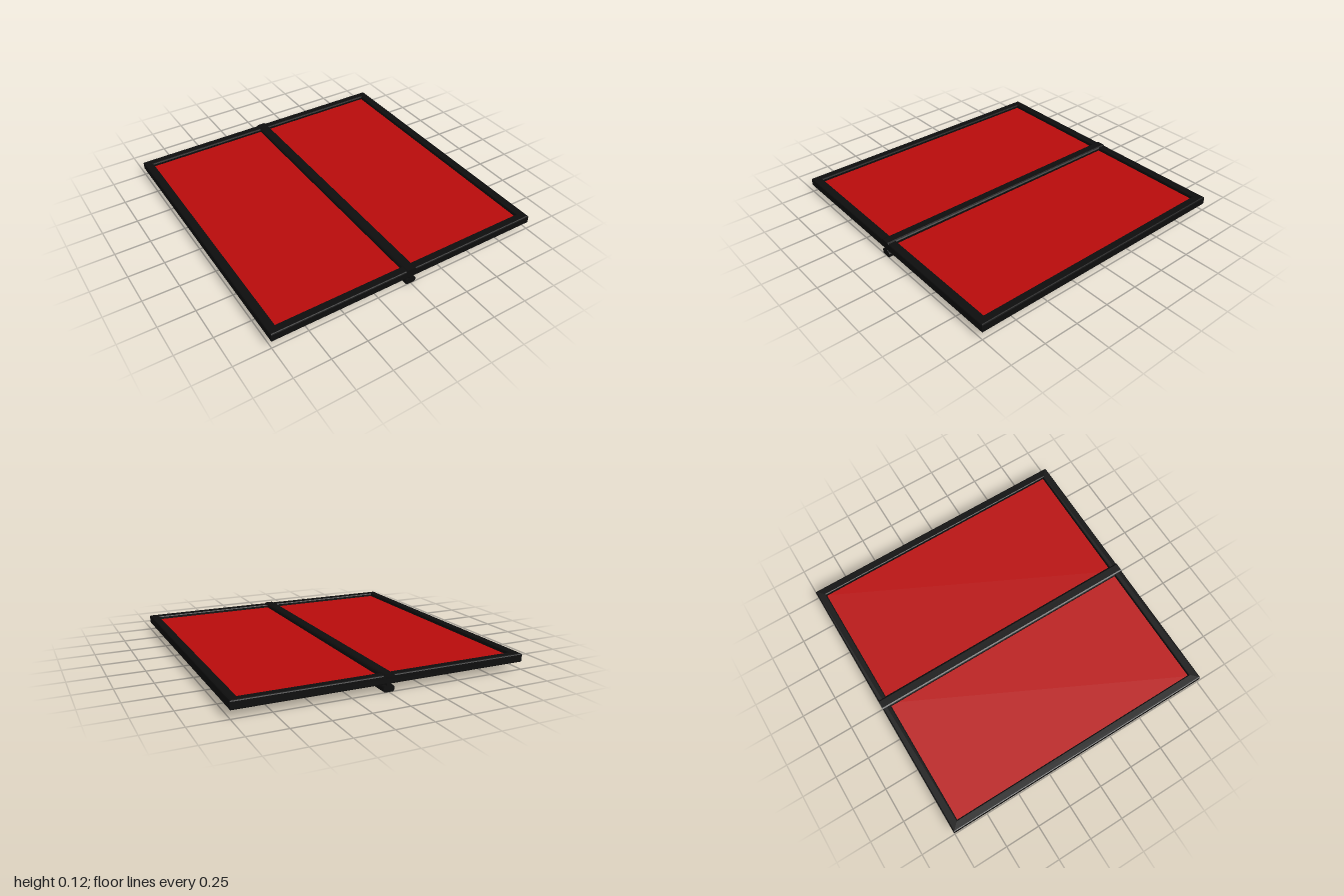
import * as THREE from 'three';

const black = new THREE.MeshStandardMaterial({ color: 0x0d0d0d });
const red = new THREE.MeshStandardMaterial({ color: 0xb80b0b });

// Closed rectangle outline, usable as a shape or a hole
function rectangle(Type, half) {
  const r = new Type();
  r.moveTo(-half, -half);
  r.lineTo(half, -half);
  r.lineTo(half, half);
  r.lineTo(-half, half);
  r.closePath();
  return r;
}

function addMesh(group, name, geometry, material) {
  const mesh = new THREE.Mesh(geometry, material);
  mesh.name = name;
  group.add(mesh);
  return mesh;
}

export function createModel() {
  const group = new THREE.Group();
  group.name = 'twoPanelWindow';

  // Square outer frame with softened edges, lying flat
  const outline = rectangle(THREE.Shape, 1);
  outline.holes.push(rectangle(THREE.Path, 0.94));
  const bevel = 0.008;
  const frame = new THREE.ExtrudeGeometry(outline, {
    depth: 0.06 - 2 * bevel, bevelEnabled: true, bevelThickness: bevel,
    bevelSize: bevel, bevelOffset: -bevel, bevelSegments: 2,
  });
  frame.rotateX(-Math.PI / 2).translate(0, 0.05 + bevel, 0);
  addMesh(group, 'outerFrame', frame, black);

  // Centre rail: I-shaped profile with rounded flanges, running front to back
  const half = [
    [0.026, 0], [0.034, 0.004], [0.037, 0.012], [0.037, 0.03], [0.032, 0.038],
    [0.017, 0.044], [0.014, 0.05], [0.014, 0.066], [0.02, 0.076], [0.034, 0.082],
    [0.039, 0.09], [0.039, 0.104], [0.034, 0.111], [0.025, 0.115],
  ];
  const profile = [...half, ...half.map(([x, y]) => [-x, y]).reverse()];
  const rail = new THREE.ExtrudeGeometry(
    new THREE.Shape(profile.map(([x, y]) => new THREE.Vector2(x, y))),
    { depth: 2, bevelEnabled: false },
  );
  rail.translate(0, 0, -1);
  addMesh(group, 'centreRail', rail, black);

  // Thin panels set into the middle of the frame depth
  for (const side of [-1, 1]) {
    const panel = addMesh(group, side > 0 ? 'leftPanel' : 'rightPanel',
      new THREE.BoxGeometry(0.945, 0.012, 1.9), red);
    panel.position.set(side * 0.4775, 0.08, 0);
  }

  return group;
}
